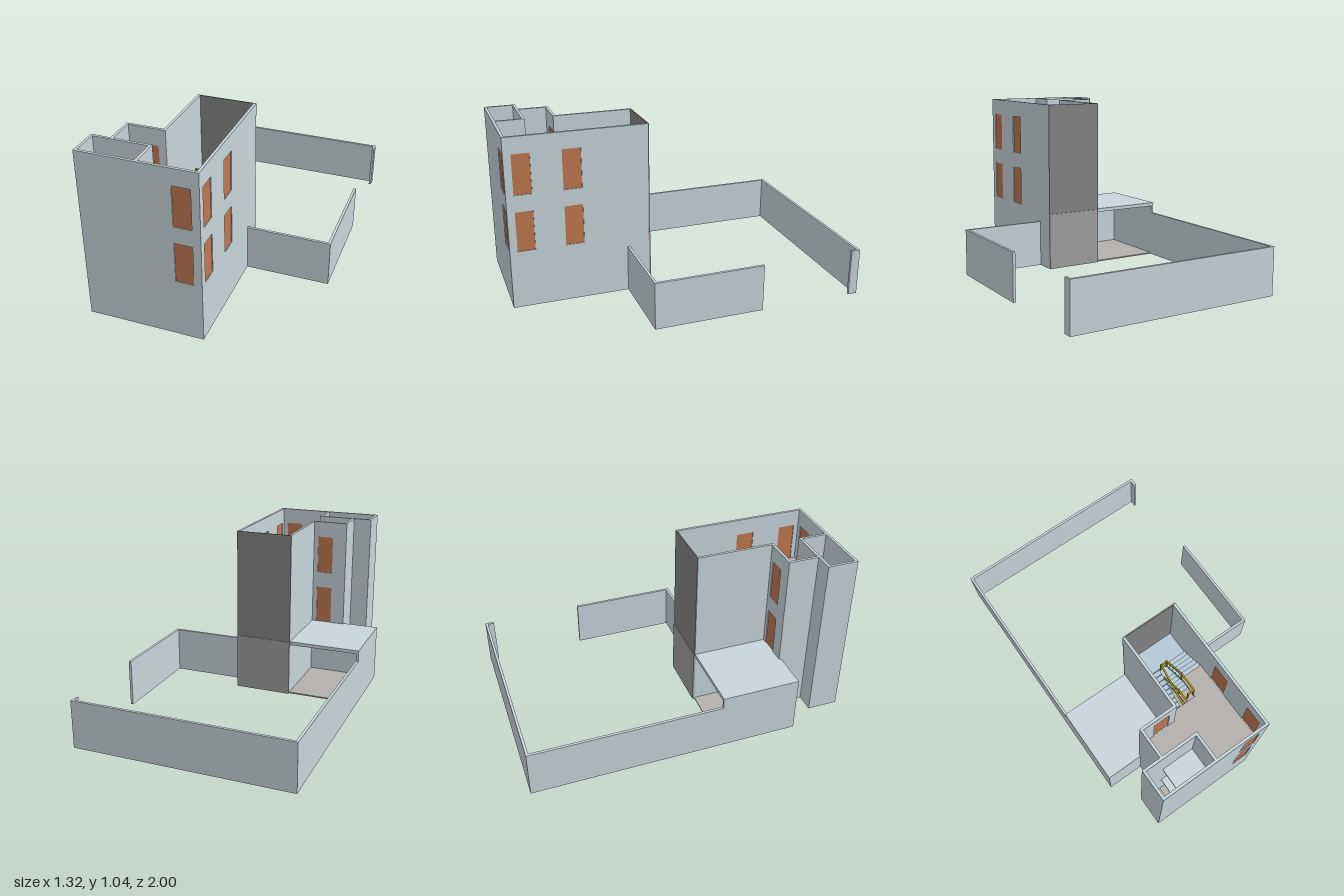
import * as THREE from 'three';

const material = (color) => new THREE.MeshStandardMaterial({ color, side: THREE.DoubleSide });
const WALL = material(0xc8d5db), FLOOR = material(0xb3b0ae), STAIR = material(0xb4cbd8);
const PANE = material(0xc07850), DARK = material(0x858585), MID = material(0xa0a0a0), RAIL = material(0xb8a410);
const TOP = 1.045, STOREY = 0.35, T = 0.016;

export function createModel() {
  const root = new THREE.Group();

  const add = (parent, name, geometry, mat) => {
    const mesh = new THREE.Mesh(geometry, mat);
    mesh.name = name;
    parent.add(mesh);
    return mesh;
  };
  const group = (name) => {
    const g = new THREE.Group();
    g.name = name;
    root.add(g);
    return g;
  };
  // box given by its limits
  const box = (parent, name, mat, x0, x1, y0, y1, z0, z1) =>
    add(parent, name, new THREE.BoxGeometry(x1 - x0, y1 - y0, z1 - z0)
      .translate((x0 + x1) / 2, (y0 + y1) / 2, (z0 + z1) / 2), mat);
  // upright outline, extruded along z, or along x when its first axis is z
  const upright = (shape, axis, at, depth) => {
    const g = new THREE.ExtrudeGeometry(shape, { depth, bevelEnabled: false });
    return axis === 'x' ? g.translate(0, 0, at) : g.rotateY(-Math.PI / 2).translate(at + depth, 0, 0);
  };
  const outline = (points) => new THREE.Shape(points.map(([a, b]) => new THREE.Vector2(a, b)));
  const rect = (a0, a1, b0, b1) => [[a0, b0], [a1, b0], [a1, b1], [a0, b1]];

  // wall with recessed panes on both upper storeys at each given span
  const windowWall = (parent, name, axis, at, a0, a1, y0, spans) => {
    const shape = outline(rect(a0, a1, y0, TOP));
    for (const [s0, s1] of spans) {
      for (const [b0, b1] of [[0.357, 0.6], [0.702, 0.944]]) {
        shape.holes.push(new THREE.Path(rect(s0, s1, b0, b1).map(([a, b]) => new THREE.Vector2(a, b))));
        add(parent, 'windowPane', upright(outline(rect(s0, s1, b0, b1)), axis, at + T * 0.3, T * 0.4), PANE);
      }
    }
    add(parent, name, upright(shape, axis, at, T), WALL);
  };

  // house walls
  const house = group('houseWalls');
  windowWall(house, 'frontWall', 'x', 1 - T, -0.545, 0.147, 0, [[-0.005, 0.1]]);
  windowWall(house, 'sideWall', 'z', 0.147 - T, 0.162, 1 - T, 0, [[0.56, 0.67], [0.85, 0.955]]);
  windowWall(house, 'terraceWall', 'x', 0.625, -0.43, -0.195, 0, [[-0.34, -0.24]]);
  box(house, 'stairWall', WALL, -0.211, -0.195, 0, TOP, 0.162, 0.625);
  box(house, 'hallWall', WALL, -0.43, -0.414, 0, TOP, 0.641, 0.81);
  box(house, 'bathBackWall', WALL, -0.545, -0.19, 0, TOP, 0.81, 0.826);
  box(house, 'bathOuterWall', WALL, -0.545, -0.529, 0, TOP, 0.826, 0.984);
  box(house, 'bathInnerWall', WALL, -0.206, -0.19, 0, TOP, 0.826, 0.984);
  box(house, 'lowerBackPanel', MID, -0.211, 0.147, 0, 0.355, 0.15, 0.162);
  box(house, 'upperBackPanel', DARK, -0.211, 0.147, 0.355, TOP, 0.155, 0.162);

  // ground slab, leaving the duct open
  const floors = group('floors');
  const ground = (name, x0, x1, z0, z1) => box(floors, name, FLOOR, x0, x1, 0, 0.008, z0, z1);
  ground('mainGroundFloor', -0.2, 0.14, 0.155, 0.99);
  ground('hallGroundFloor', -0.42, -0.2, 0.64, 0.815);
  ground('bathGroundFloor', -0.41, -0.2, 0.815, 0.99);
  ground('terraceRoomFloor', -0.65, -0.2, 0.162, 0.64);

  // upper floors around the stairwell
  for (const y of [STOREY, 2 * STOREY]) {
    const slab = (name, mat, x0, x1, z0, z1) => box(floors, name, mat, x0, x1, y - 0.02, y, z0, z1);
    slab('mainFloor', FLOOR, -0.195, 0.131, 0.59, 0.984);
    slab('landingFloor', FLOOR, -0.01, 0.131, 0.457, 0.59);
    slab('hallFloor', FLOOR, -0.414, -0.195, 0.641, 0.81);
    slab('bathFloor', WALL, -0.41, -0.206, 0.826, 0.984);
  }

  // low room with terrace roof, open toward the yard
  const terrace = group('terrace');
  box(terrace, 'terraceRoof', WALL, -0.66, -0.211, 0.335, 0.357, 0.16, 0.64);
  box(terrace, 'terraceSideWall', WALL, -0.66, -0.644, 0, 0.335, 0.16, 0.64);
  box(terrace, 'terraceFrontWall', WALL, -0.644, -0.43, 0, 0.335, 0.625, 0.64);

  // stairs and handrails, one set per storey
  const rise = STOREY / 17;
  const bar = (parent, a, b) => {
    const p = new THREE.Vector3(...a), q = new THREE.Vector3(...b);
    const mesh = add(parent, 'rail', new THREE.BoxGeometry(0.01, 0.01, p.distanceTo(q) + 0.01), RAIL);
    mesh.position.copy(p).lerp(q, 0.5);
    mesh.lookAt(q);
  };
  const flight = (parent, name, z0, run, y0, count, x0, x1) => {
    const points = [[z0, y0]];
    for (let i = 0; i < count; i++) {
      points.push([z0 + i * run, y0 + (i + 1) * rise], [z0 + (i + 1) * run, y0 + (i + 1) * rise]);
    }
    points.push([z0 + count * run, y0 + (count - 1) * rise], [z0 + Math.abs(run) * Math.sign(run), y0]);
    add(parent, name, upright(outline(points), 'z', x0, x1 - x0), STAIR);
  };
  for (const y of [0.004, STOREY]) {
    const stairs = group('stairs');
    const mid = y + 11 * rise, up = y + STOREY, h = 0.1;
    flight(stairs, 'lowerFlight', 0.59, -0.028, y, 10, -0.195, -0.057);
    box(stairs, 'stairLanding', STAIR, -0.195, 0.131, mid - 0.02, mid, 0.162, 0.31);
    flight(stairs, 'upperFlight', 0.31, 0.0294, mid, 5, -0.01, 0.131);
    const path = [[-0.054, y + h, 0.61], [-0.054, mid + h, 0.32], [-0.014, mid + h, 0.32],
      [-0.014, up + h, 0.46], [-0.014, up + h, 0.575], [-0.054, up + h, 0.575]];
    for (let i = 0; i < path.length - 1; i++) bar(stairs, path[i], path[i + 1]);
    path.forEach(([x, py, z]) => box(stairs, 'railPost', RAIL, x - 0.004, x + 0.004, py - h, py, z - 0.004, z + 0.004));
  }

  // yard wall with a gate gap on one side
  const yard = group('yardWall');
  const fence = (name, x0, x1, z0, z1) => box(yard, name, WALL, x0, x1, 0, 0.288, z0, z1);
  fence('yardRightWall', -0.66, -0.644, -1, 0.16);
  fence('yardBackWall', -0.644, 0.658, -1, -0.984);
  fence('gateStub', 0.642, 0.658, -0.984, -0.945);
  fence('yardLeftWall', 0.642, 0.658, -0.37, 0.28);
  fence('yardFrontWall', 0.147, 0.658, 0.28, 0.296);

  return root;
}
